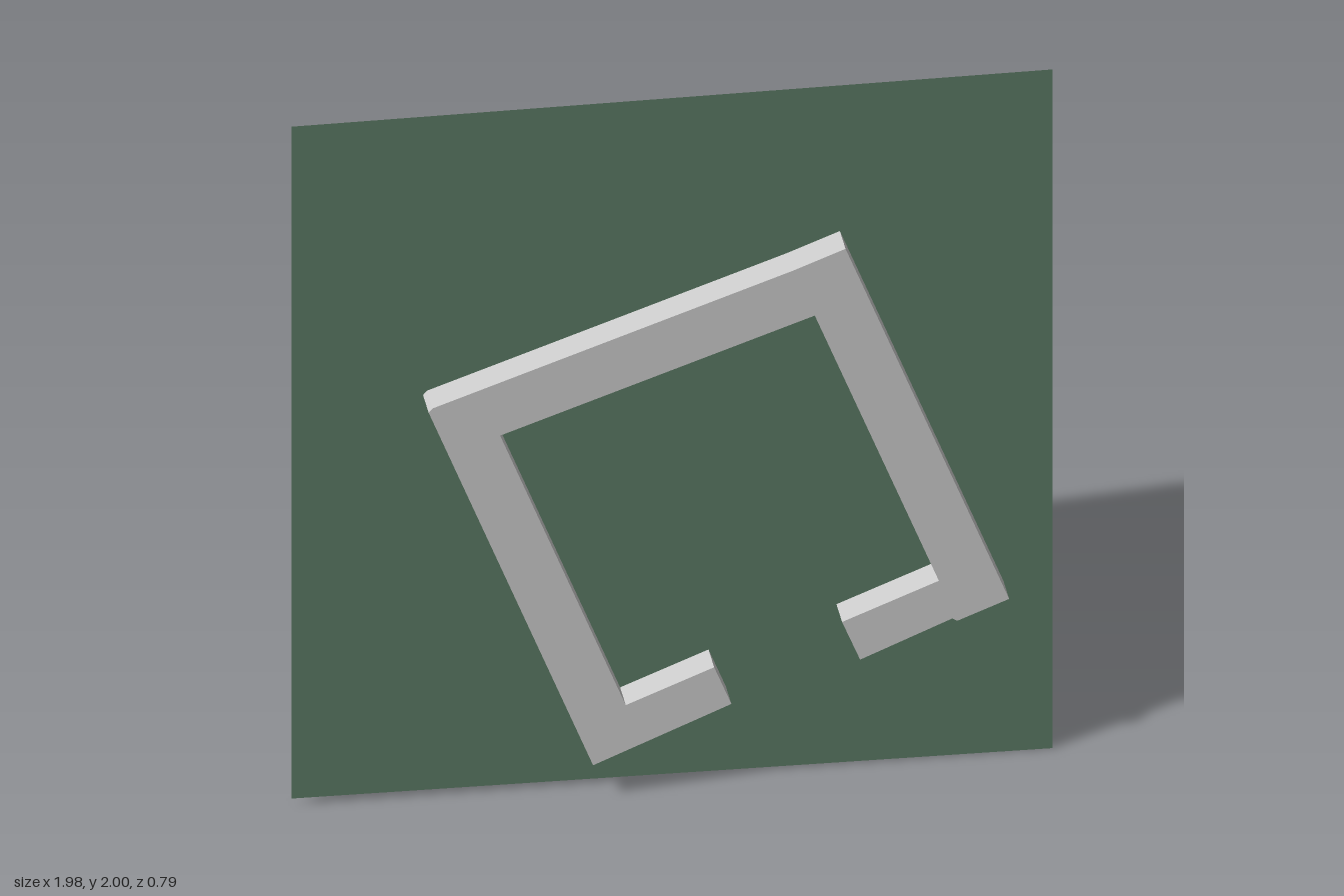
import * as THREE from 'three';

const toShape = (pts) => new THREE.Shape(pts.map(([x, y]) => new THREE.Vector2(x, y)));

export function createModel() {
  const model = new THREE.Group();
  const grey = new THREE.MeshStandardMaterial({ color: 0xcccccc });
  grey.name = 'light grey';
  const green = new THREE.MeshStandardMaterial({ color: 0x5b7a64, side: THREE.DoubleSide });
  green.name = 'dull green';

  // Tilted C-channel: outer outline, then back along the inside
  const depth = 0.79;
  const profile = toShape([
    [-0.22, 0.105], [0.14, 0.255], [0.095, 0.367], [-0.135, 0.275],
    [-0.462, 1.097], [0.357, 1.381], [0.68, 0.572], [0.428, 0.472],
    [0.475, 0.357], [0.715, 0.458], [0.728, 0.45], [0.863, 0.503],
    [0.437, 1.571], [0.3, 1.518], [-0.638, 1.192], [-0.648, 1.18],
  ]);
  const channelGeometry = new THREE.ExtrudeGeometry(profile, { depth, bevelEnabled: false });
  channelGeometry.translate(0, 0, -depth / 2);
  const channel = new THREE.Mesh(channelGeometry, grey);
  channel.name = 'channel';
  model.add(channel);

  // Thin sheet crossing the channel near its front end
  const sheet = new THREE.Mesh(
    new THREE.ShapeGeometry(toShape([[-0.99, 0.02], [0.99, 0], [0.99, 2], [-0.99, 2]])),
    green,
  );
  sheet.name = 'sheet';
  sheet.position.z = 0.3;
  model.add(sheet);

  return model;
}
